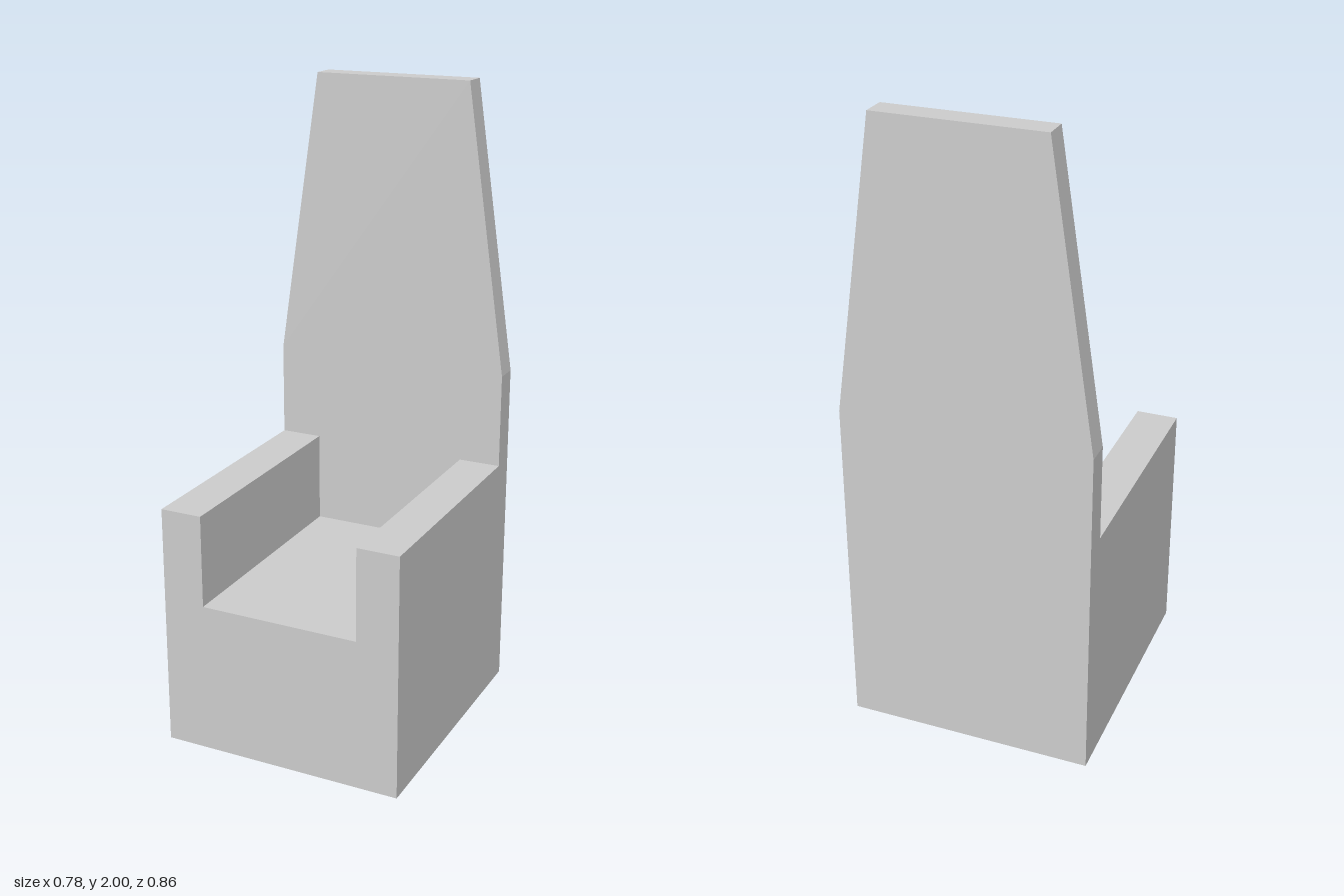
import * as THREE from 'three';

const HALF_WIDTH = 0.392;   // outer half width
const INNER = 0.257;        // half width of the seat and of the top edge
const FRONT = 0.432, BACK = -0.432, BACK_FACE = -0.353;

const material = new THREE.MeshStandardMaterial({ color: 0xcccccc, flatShading: true });

// Mirrors a right-hand outline (bottom to top) about x = 0 and extrudes it from z0 to z1.
function symmetricSlab(name, outline, z0, z1) {
  const points = outline.map(([x, y]) => new THREE.Vector2(x, y));
  const mirrored = outline.map(([x, y]) => new THREE.Vector2(-x, y)).reverse();
  const geometry = new THREE.ExtrudeGeometry(new THREE.Shape([...points, ...mirrored]), {
    depth: z1 - z0,
    bevelEnabled: false,
  });
  geometry.translate(0, 0, z0);
  const mesh = new THREE.Mesh(geometry, material);
  mesh.name = name;
  return mesh;
}

export function createModel() {
  const chair = new THREE.Group();
  chair.name = 'highBackChair';

  // Solid base with the seat sunk between two armrests
  chair.add(symmetricSlab('seatAndArmrests', [
    [HALF_WIDTH, 0], [HALF_WIDTH, 0.783], [INNER, 0.783], [INNER, 0.487],
  ], BACK_FACE, FRONT));

  // Tall backrest, straight below and tapering to the top
  chair.add(symmetricSlab('backrest', [
    [HALF_WIDTH, 0], [HALF_WIDTH, 1.085], [INNER, 2],
  ], BACK, BACK_FACE));

  return chair;
}
